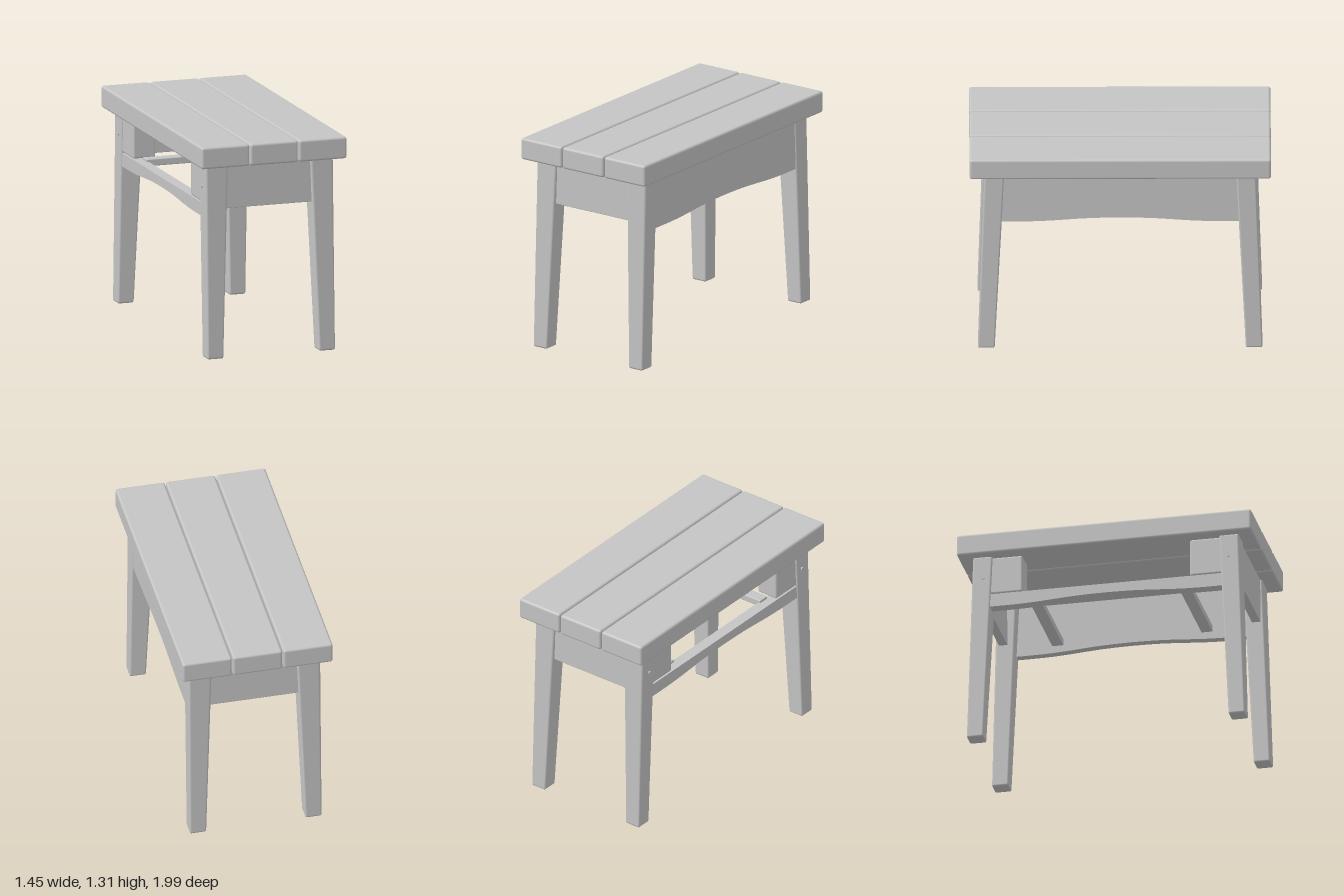
import * as THREE from 'three';
import { RoundedBoxGeometry } from 'three/addons/geometries/RoundedBoxGeometry.js';

export function createModel() {
  const model = new THREE.Group();
  model.name = 'bench';
  const wood = new THREE.MeshStandardMaterial({ color: 0xc4c4c4 });
  wood.name = 'plain grey';

  const add = (name, geometry) => {
    const mesh = new THREE.Mesh(geometry, wood);
    mesh.name = name;
    model.add(mesh);
    return mesh;
  };

  // Rounded block given by its limits along each axis
  const block = (name, x0, x1, y0, y1, z0, z1, r = 0.006) =>
    add(name, new RoundedBoxGeometry(x1 - x0, y1 - y0, z1 - z0, 2, r))
      .position.set((x0 + x1) / 2, (y0 + y1) / 2, (z0 + z1) / 2);

  // Three top planks with narrow gaps
  for (const i of [-1, 0, 1]) {
    block('topPlank', i * 0.308 - 0.151, i * 0.308 + 0.151, 1.175, 1.308, -0.898, 0.898, 0.015);
  }

  // Legs taper downward on their inner faces and splay slightly lengthwise
  const legHeight = 1.18;
  const mix = THREE.MathUtils.lerp;
  function leg(sx, sz) {
    const g = new RoundedBoxGeometry(0.12, legHeight, 0.12, 3, 0.012);
    const p = g.attributes.position;
    const place = (side, u, inner, outer) =>
      side > 0 ? mix(inner, outer, u) : -mix(outer, inner, u);
    for (let i = 0; i < p.count; i++) {
      const t = p.getY(i) / legHeight + 0.5;
      const x = place(sx, p.getX(i) / 0.12 + 0.5, mix(0.303, 0.26, t), 0.403);
      const z = place(sz, p.getZ(i) / 0.12 + 0.5, mix(0.748, 0.69, t), mix(0.848, 0.81, t));
      p.setXYZ(i, x, t * legHeight, z);
    }
    add('leg', g);
  }
  for (const sx of [-1, 1]) for (const sz of [-1, 1]) leg(sx, sz);

  // Long board with an arched lower edge
  function archedBoard(name, x0, x1, bottom, top, rise) {
    const s = new THREE.Shape();
    s.moveTo(-0.75, top);
    s.lineTo(-0.75, bottom);
    s.lineTo(-0.62, bottom);
    s.bezierCurveTo(-0.35, bottom, -0.3, bottom + rise, 0, bottom + rise);
    s.bezierCurveTo(0.3, bottom + rise, 0.35, bottom, 0.62, bottom);
    s.lineTo(0.75, bottom);
    s.lineTo(0.75, top);
    const g = new THREE.ExtrudeGeometry(s, { depth: x1 - x0, bevelEnabled: false, curveSegments: 16 });
    g.rotateY(Math.PI / 2);
    add(name, g).position.x = x0;
  }
  archedBoard('longApron', 0.345, 0.395, 0.857, 1.18, 0.026);
  archedBoard('drawerRail', -0.395, -0.325, 0.85, 0.932, 0.024);

  for (const s of [-1, 1]) {
    const span = (a, b) => (s > 0 ? [a, b] : [-b, -a]);
    // End aprons
    block('endApron', -0.32, 0.32, 0.905, 1.18, ...span(0.745, 0.798), 0.004);
    // Blocks either side of the drawer opening
    block('openingBlock', -0.392, -0.25, 0.935, 1.17, ...span(0.51, 0.72), 0.012);
    // Cross runners between rail and apron
    block('drawerRunner', -0.34, 0.35, 0.905, 0.948, ...span(0.42, 0.49));
    // Pegs on the outer faces of the open side's legs
    const peg = add('peg', new THREE.CylinderGeometry(0.011, 0.011, 0.016, 16));
    peg.rotation.z = Math.PI / 2;
    peg.position.set(-0.402, 1.04, s * 0.745);
  }

  // The whole bench stands turned about the vertical axis
  model.rotation.y = 0.337;
  const group = new THREE.Group();
  group.add(model);
  return group;
}
